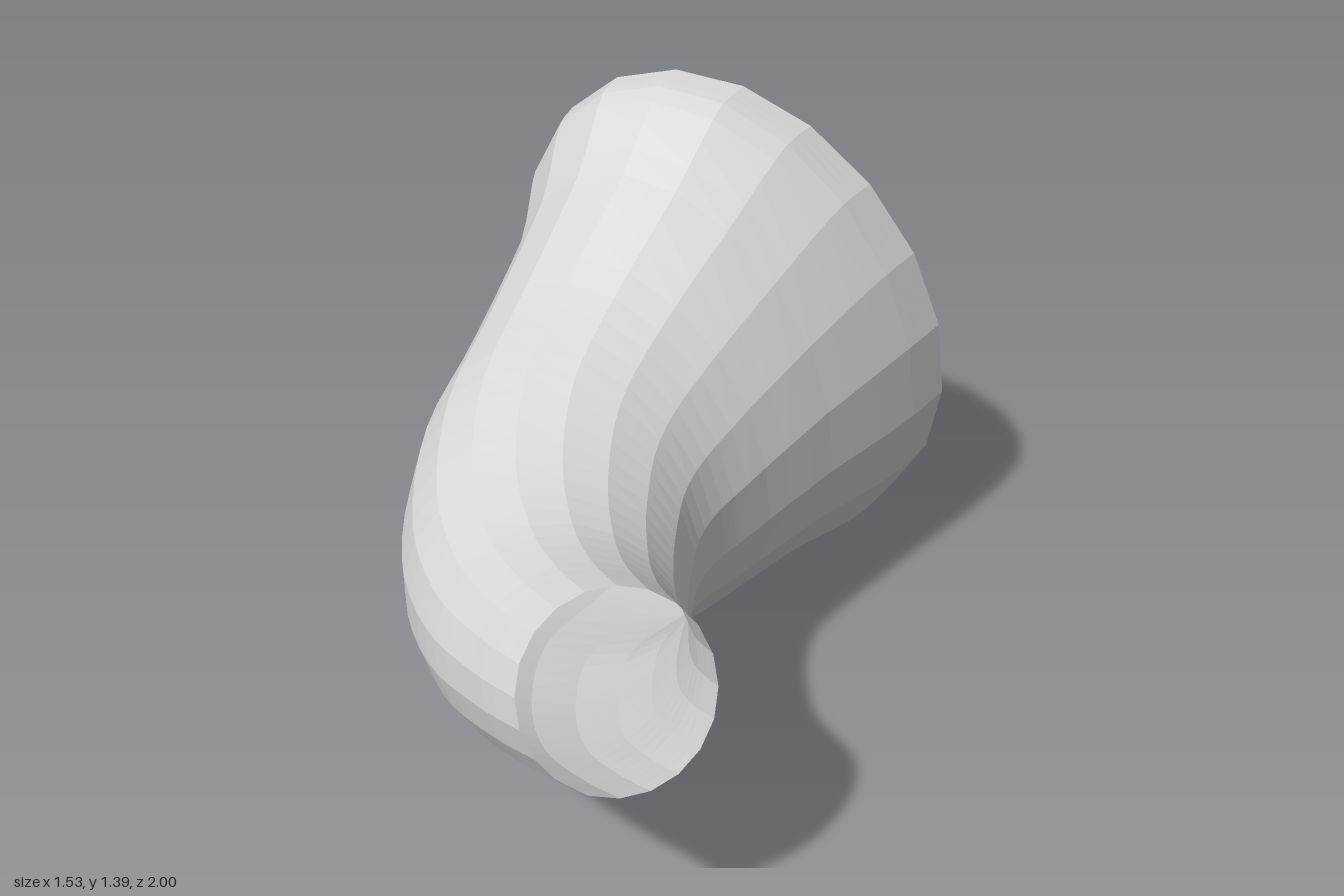
import * as THREE from 'three';

const SIDES = 20;
const RINGS = 32;

// Elliptical cross-sections from the wide mouth to the narrow one:
// centre, sideways half-axis, upward half-axis.
const sections = [
  [[-0.195, 0.695, -0.81], [0.575, -0.06, -0.157], [-0.05, 0.69, 0.096]],
  [[-0.18, 0.685, -0.69], [0.555, -0.06, -0.13], [-0.05, 0.69, 0.08]],
  [[-0.13, 0.655, -0.40], [0.475, -0.05, -0.06], [-0.04, 0.58, 0.05]],
  [[-0.085, 0.60, -0.06], [0.41, -0.03, -0.055], [-0.03, 0.478, 0.02]],
  [[-0.02, 0.58, 0.21], [0.36, -0.01, -0.115], [-0.02, 0.40, 0]],
  [[0.125, 0.575, 0.44], [0.29, 0, -0.18], [-0.03, 0.327, -0.02]],
  [[0.30, 0.61, 0.615], [0.22, 0, -0.195], [-0.05, 0.262, -0.045]],
  [[0.47, 0.675, 0.73], [0.155, 0, -0.19], [-0.075, 0.217, -0.055]],
  [[0.615, 0.74, 0.81], [0.119, 0, -0.18], [-0.09, 0.187, -0.06]],
];

// Smooth curve through one column of the section list
function track(column) {
  return new THREE.CatmullRomCurve3(sections.map((s) => new THREE.Vector3(...s[column])));
}

function hornGeometry() {
  const [centre, side, up] = [0, 1, 2].map(track);
  const lip = new THREE.Vector3(0, 0.015, -0.035);
  const positions = [];
  const index = [];
  for (let i = 0; i <= RINGS; i++) {
    const t = i / RINGS;
    const c = centre.getPoint(t);
    const u = side.getPoint(t);
    const v = up.getPoint(t);
    for (let k = 0; k < SIDES; k++) {
      const a = ((k + 0.5) / SIDES) * Math.PI * 2;
      const p = c.clone().addScaledVector(u, Math.cos(a)).addScaledVector(v, Math.sin(a));
      // small lip at the bottom of the wide mouth
      if (i === 0 && k >= 13 && k <= 16) p.add(lip);
      positions.push(p.x, p.y, p.z);
    }
  }
  for (let i = 0; i < RINGS; i++) {
    for (let k = 0; k < SIDES; k++) {
      const a = i * SIDES + k;
      const b = i * SIDES + ((k + 1) % SIDES);
      index.push(a, b, a + SIDES, b, b + SIDES, a + SIDES);
    }
  }
  const geometry = new THREE.BufferGeometry();
  geometry.setAttribute('position', new THREE.Float32BufferAttribute(positions, 3));
  geometry.setIndex(index);
  geometry.computeVertexNormals();
  return geometry;
}

export function createModel() {
  const group = new THREE.Group();
  group.name = 'curvedHorn';

  const grey = new THREE.MeshStandardMaterial({
    color: 0xd8d8d8,
    flatShading: true,
    side: THREE.DoubleSide,
  });
  grey.name = 'grey';

  // Open flared tube
  const horn = new THREE.Mesh(hornGeometry(), grey);
  horn.name = 'hornShell';
  group.add(horn);
  return group;
}
